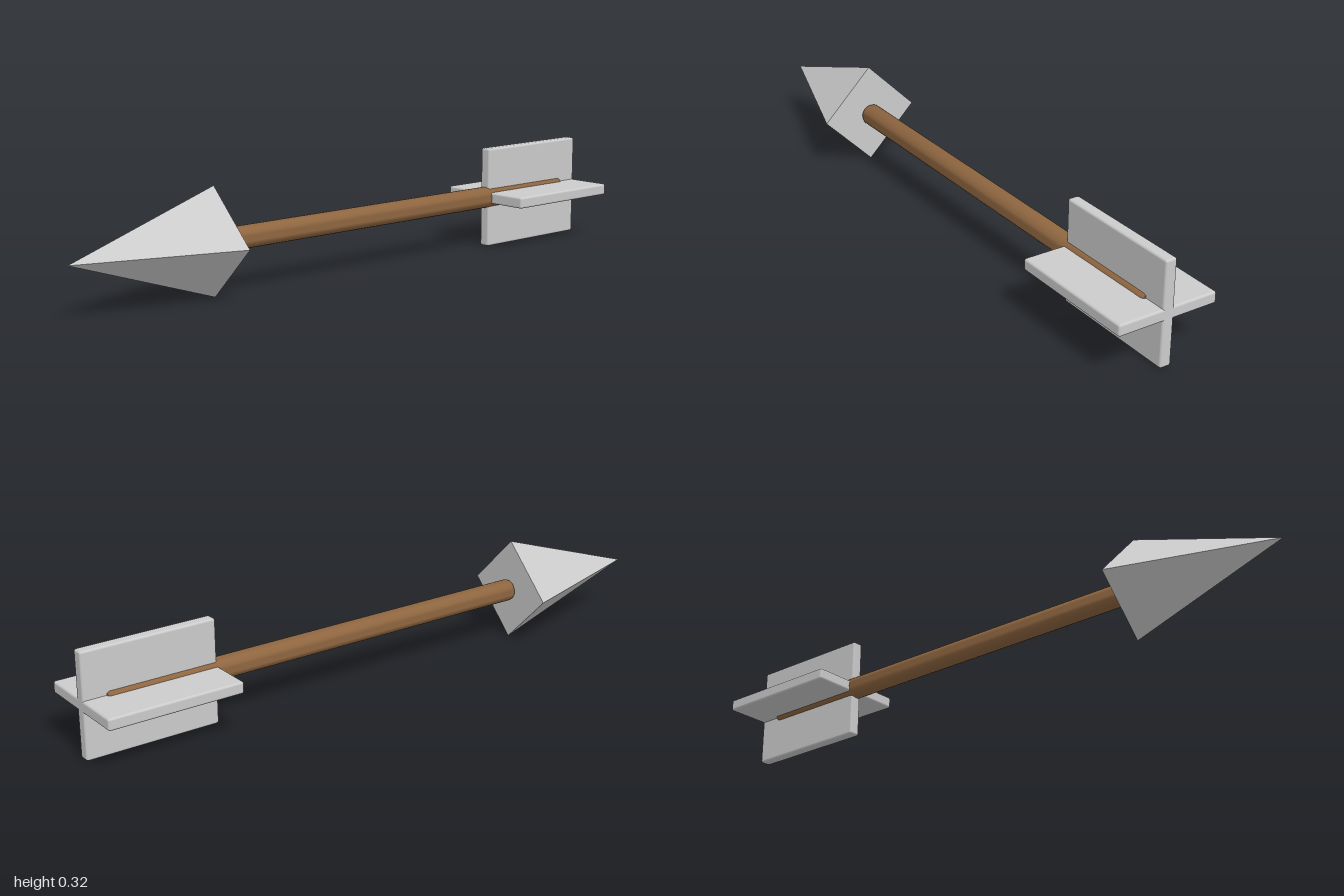
import * as THREE from 'three';
import { RoundedBoxGeometry } from 'three/addons/geometries/RoundedBoxGeometry.js';
import { toCreasedNormals } from 'three/addons/utils/BufferGeometryUtils.js';

const AXIS_Y = 0.162; // height of the arrow's centre line

export function createModel() {
  const model = new THREE.Group();
  model.name = 'arrow';
  const grey = new THREE.MeshStandardMaterial({ color: 0xcccccc });
  const flatGrey = new THREE.MeshStandardMaterial({ color: 0xcccccc, flatShading: true });
  const wood = new THREE.MeshStandardMaterial({ color: 0x8f6640 });

  const add = (name, geometry, material, z) => {
    const mesh = new THREE.Mesh(geometry, material);
    mesh.name = name;
    mesh.position.set(0, AXIS_Y, z);
    model.add(mesh);
    return mesh;
  };

  // four-sided pointed head, corners on the x and y axes
  const head = new THREE.ConeGeometry(0.16, 0.482, 4).rotateX(Math.PI / 2);
  add('arrowhead', head, flatGrey, 0.759);

  // round shaft with softened ends
  const length = 1.445, radius = 0.034, bevel = 0.01;
  const profile = [
    [0, 0], [radius - bevel, 0], [radius - 0.003, 0.003], [radius, bevel],
    [radius, length - bevel], [radius - 0.003, length - 0.003], [radius - bevel, length], [0, length],
  ].map(([r, y]) => new THREE.Vector2(r, y));
  const shaft = new THREE.LatheGeometry(profile, 24).rotateX(Math.PI / 2);
  add('shaft', toCreasedNormals(shaft, 0.7), wood, -0.93);

  // two crossed plates form the four tail fins
  for (const [name, w, h] of [['horizontalFins', 0.32, 0.036], ['verticalFins', 0.036, 0.32]]) {
    add(name, new RoundedBoxGeometry(w, h, 0.418, 2, 0.007), grey, -0.791);
  }

  return model;
}
